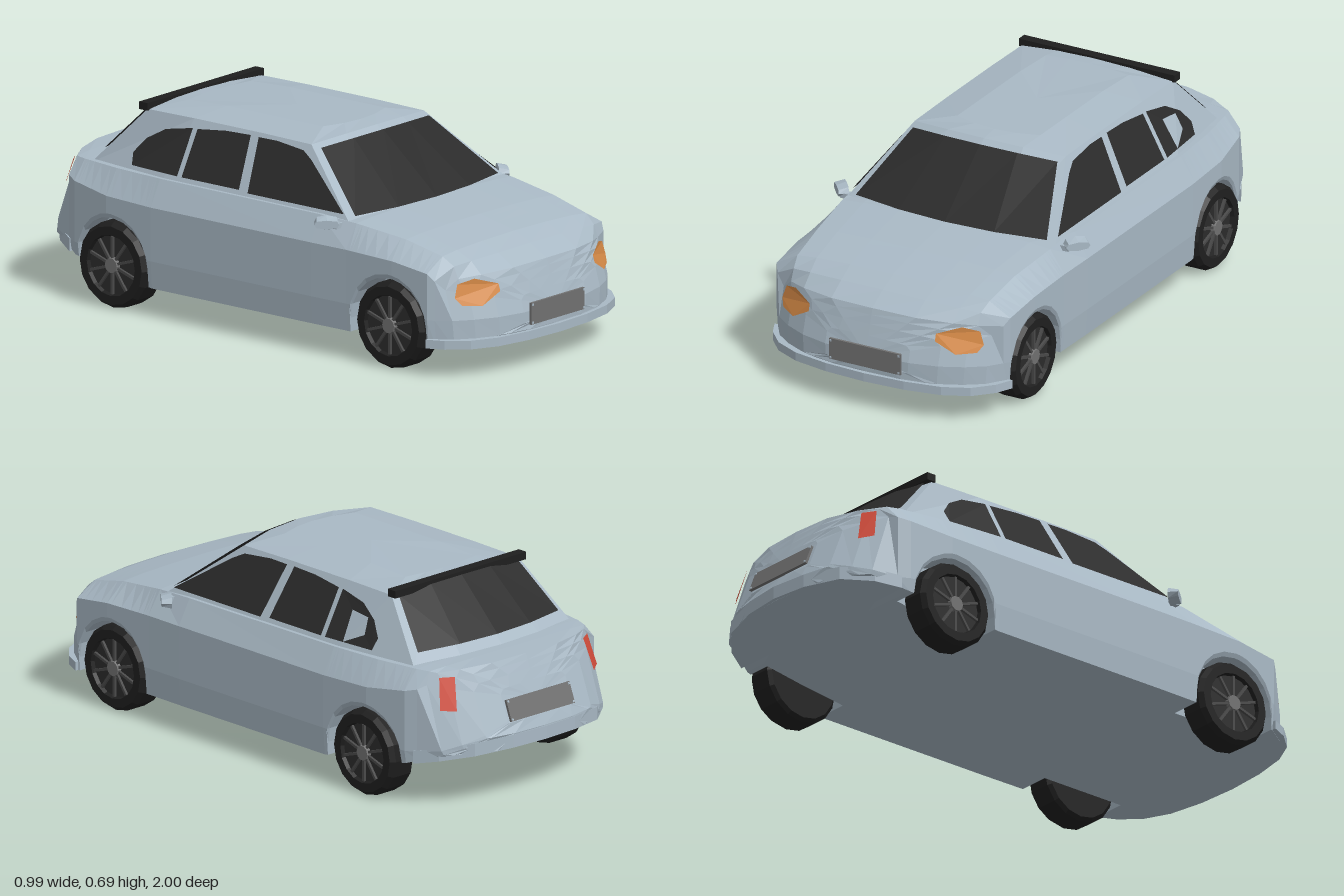
import * as THREE from 'three';

const mat = (name, color, side = THREE.FrontSide) => {
  const m = new THREE.MeshStandardMaterial({ color, side });
  m.name = name;
  return m;
};
const lerp = THREE.MathUtils.lerp;

// Facet a geometry so every face is flat
function flat(g) {
  const f = g.index ? g.toNonIndexed() : g;
  f.computeVertexNormals();
  return f;
}

// Full ring from a half ring lying on the +x side
const mirrorRing = (half) =>
  half.concat(half.slice(1, -1).reverse().map(([x, y, z]) => [-x, y, z]));

// Skin a list of rings with equal point counts
function loft(rings) {
  const n = rings[0].length, idx = [];
  for (let i = 0; i < rings.length - 1; i++)
    for (let j = 0; j < n; j++) {
      const a = i * n + j, b = i * n + (j + 1) % n;
      idx.push(a, a + n, b, b, a + n, b + n);
    }
  const g = new THREE.BufferGeometry();
  g.setAttribute('position', new THREE.Float32BufferAttribute(rings.flat(2), 3));
  g.setIndex(idx);
  return flat(g);
}

// Move every vertex by a rule
function warp(g, rule) {
  const p = g.attributes.position;
  for (let i = 0; i < p.count; i++) p.setXYZ(i, ...rule(p.getX(i), p.getY(i), p.getZ(i)));
  return flat(g);
}
const outline = (pts) => new THREE.Shape(pts.map(([a, b]) => new THREE.Vector2(a, b)));

// Rounded front and tail faces
const noseZ = (x, y) => 0.985 - 0.3 * Math.max(0, y - 0.2) - 0.1 * (Math.abs(x) / 0.38) ** 3;
const tailZ = (x, y) =>
  -0.9 - 0.09 * THREE.MathUtils.clamp((0.48 - y) / 0.23, 0, 1) + 0.1 * (Math.abs(x) / 0.36) ** 3;

// z, corner sweep, half width, shoulder y, top half width, top edge y, top centre y, floor y
const keys = [
  [0.95, 0, 0.4, 0.3, 0.36, 0.335, 0.35, 0.105],
  [0.87, 0.05, 0.435, 0.335, 0.36, 0.375, 0.39, 0.105],
  [0.8, 0, 0.45, 0.36, 0.37, 0.405, 0.42, 0.105],
  [0.65, 0, 0.455, 0.38, 0.38, 0.44, 0.452, 0.105],
  [0.45, 0, 0.455, 0.385, 0.4, 0.465, 0.478, 0.105],
  [0.3, 0, 0.457, 0.385, 0.408, 0.472, 0.475, 0.105],
  [-0.4, 0, 0.457, 0.385, 0.408, 0.475, 0.475, 0.105],
  [-0.6, 0, 0.45, 0.39, 0.395, 0.475, 0.475, 0.13],
  [-0.76, 0, 0.425, 0.41, 0.37, 0.475, 0.482, 0.155],
  [-0.82, 0.02, 0.405, 0.42, 0.355, 0.474, 0.482, 0.17],
  [-0.9, 0, 0.37, 0.43, 0.335, 0.468, 0.48, 0.2],
];
const wheelZ = [0.63, -0.58], wheelY = 0.153, archR = 0.163;

function section(z) {
  let i = 0;
  while (i < keys.length - 2 && z < keys[i + 1][0]) i++;
  const t = (keys[i][0] - z) / (keys[i][0] - keys[i + 1][0]);
  const [, bow, w, ys, wt, yt, yc, yf] = keys[i].map((k, n) => lerp(k, keys[i + 1][n], t));
  // Lower edge rises over the wheels
  let yb = yf;
  for (const c of wheelZ) {
    const d = archR ** 2 - (z - c) ** 2;
    if (d >= -1e-9) yb = Math.max(yb, wheelY + Math.sqrt(Math.max(d, 0)));
  }
  const half = [
    [0, yf], [0.2, yf], [0.335, yf], [0.335, yb], [w * 0.985, yb], [w, Math.max(0.2, yb + 0.015)], [w, ys],
    [wt, yt], [wt * 0.8, lerp(yt, yc, 0.5)], [wt * 0.45, lerp(yt, yc, 0.85)], [0, yc],
  ];
  return half.map(([x, y]) => [x, y, z - Math.sign(z) * bow * (x / w) ** 3]);
}

function bodyGeometry() {
  const zs = keys.slice(1, -1).map((k) => k[0]);
  for (const c of wheelZ) {
    for (let i = 0; i <= 10; i++) zs.push(c + archR * Math.cos((i * Math.PI) / 10));
    zs.push(c + archR + 0.002, c - archR - 0.002);
  }
  const rings = zs.sort((a, b) => b - a).map(section);
  const cap = (z, cy, f, t) =>
    section(z).map(([x, y]) => {
      const px = x * t, py = lerp(cy, y, t);
      return [px, py, f(px, py)];
    });
  const steps = [0, 0.4, 0.65, 0.85, 1];
  const front = steps.map((t) => cap(0.95, 0.2, noseZ, t));
  const back = steps.map((t) => cap(-0.9, 0.34, tailZ, t)).reverse();
  return loft([...front, ...rings, ...back].map(mirrorRing));
}

// Cabin faces: u runs across, v runs from the base up to the roof
const frontScreen = (u, v) =>
  [u * lerp(0.4, 0.29, v), lerp(0.465, 0.683 - 0.018 * u * u, v), lerp(0.465 - 0.05 * u * u, 0.2 - 0.04 * u * u, v)];
const rearScreen = (u, v) =>
  [u * lerp(0.36, 0.29, v), lerp(0.465, 0.68 - 0.015 * u * u, v), lerp(-0.8 + 0.06 * u * u, -0.575 + 0.02 * u * u, v)];
const sideX = (z, y) =>
  lerp(z < -0.4 ? 0.4 + (z + 0.4) * 0.12 : 0.4, 0.29, (y - 0.465) / 0.2);

function cabinGeometry() {
  const us = [0, 0.5, 1];
  const ring = (v) => [
    ...us.map((u) => frontScreen(u, v)),
    [lerp(0.4, 0.29, v), lerp(0.465, 0.668, v), lerp(0, -0.05, v)],
    [lerp(0.4, 0.29, v), lerp(0.465, 0.668, v), lerp(-0.4, -0.35, v)],
    ...us.slice().reverse().map((u) => rearScreen(u, v)),
  ];
  const top = ring(1);
  const roof = top.map(([x, , z]) => [x * 0.55, z > -0.4 ? 0.691 : 0.683, z * 0.82 - 0.03]);
  const centre = top.map(() => [0, 0.692, -0.15]);
  return loft([centre, roof, top, ring(0)].map(mirrorRing));
}

export function createModel() {
  const car = new THREE.Group();
  car.name = 'car';
  const paint = mat('body paint', 0xa9b9c5);
  const glass = mat('dark glass', 0x2b2b2b, THREE.DoubleSide);
  const amber = mat('amber lens', 0xd98c48, THREE.DoubleSide);
  const red = mat('red lens', 0xd24c3a, THREE.DoubleSide);
  const rubber = mat('tyre rubber', 0x1f1f1f);
  const rimDark = mat('rim shadow', 0x2c2c2c);
  const alloy = mat('spoke metal', 0x4a4a4a);
  const grey = mat('plate grey', 0x717171);

  const add = (name, g, m, parent = car) => {
    const mesh = new THREE.Mesh(g, m);
    mesh.name = name;
    parent.add(mesh);
    return mesh;
  };
  const box = (name, w, h, d, m, x, y, z, parent = car) => {
    const b = add(name, new THREE.BoxGeometry(w, h, d), m, parent);
    b.position.set(x, y, z);
    return b;
  };

  add('body', bodyGeometry(), paint);
  add('cabin', cabinGeometry(), paint);

  // Bumper lips, wrapped around both ends
  const lip = (name, pts, h, rule) => {
    const full = pts.concat(pts.slice(1).reverse().map(([x, z]) => [-x, z]));
    const g = new THREE.ExtrudeGeometry(outline(full), { depth: h, bevelEnabled: false });
    g.rotateX(Math.PI / 2);
    add(name, warp(g, rule), paint);
  };
  lip('frontBumperLip', [[0, 1], [0.15, 0.992], [0.28, 0.968], [0.37, 0.925], [0.43, 0.86], [0.458, 0.8]],
    0.03, (x, y, z) => [x, y + 0.136, z]);
  lip('rearBumperLip', [[0, -1], [0.14, -0.988], [0.28, -0.948], [0.37, -0.87], [0.415, -0.79]],
    0.045, (x, y, z) => [x, y + 0.198 + (-z - 0.76) * 0.21, z]);

  // Windscreen and rear window
  const pane = (name, surf, v0, v1, dz) =>
    add(name, warp(new THREE.PlaneGeometry(2, 1, 4, 1), (a, b) => {
      const u = a * 0.93;
      const p = surf(u, lerp(v0, v1, b + 0.5));
      return [p[0], p[1] + 0.005, p[2] + dz];
    }), glass);
  pane('windscreen', frontScreen, 0.04, 0.92, 0.006);
  pane('rearWindow', rearScreen, 0.2, 0.97, -0.006);

  // Side windows
  const sideWindows = {
    FrontWindow: [[0.39, 0.485], [-0.03, 0.485], [-0.06, 0.655], [0.02, 0.656], [0.14, 0.645], [0.185, 0.622]],
    RearWindow: [[-0.07, 0.49], [-0.32, 0.49], [-0.32, 0.64], [-0.2, 0.653], [-0.095, 0.656]],
    QuarterWindow: [[-0.34, 0.49], [-0.55, 0.49], [-0.56, 0.53], [-0.52, 0.58], [-0.45, 0.62], [-0.34, 0.64]],
  };
  const headlight = [[0.24, 0.31], [0.24, 0.285], [0.31, 0.245], [0.37, 0.25], [0.385, 0.275], [0.37, 0.32], [0.317, 0.335]];
  const taillight = [[0.29, 0.455], [0.335, 0.455], [0.355, 0.35], [0.31, 0.345]];

  for (const [side, s] of [['left', 1], ['right', -1]]) {
    for (const [name, pts] of Object.entries(sideWindows))
      add(side + name, warp(new THREE.ShapeGeometry(outline(pts)),
        (z, y) => [s * (sideX(z, y) + 0.006), y, z]), glass);
    add(side + 'Headlight', warp(new THREE.ShapeGeometry(outline(headlight)),
      (x, y) => [s * (x + 0.003), y, noseZ(x, y) + 0.01]), amber);
    add(side + 'Taillight', warp(new THREE.ShapeGeometry(outline(taillight)),
      (x, y) => [s * (x + 0.004), y, tailZ(x, y) - 0.008]), red);

    // Door mirror: tapered head on a short arm
    const head = add(side + 'Mirror', warp(new THREE.BoxGeometry(0.085, 0.05, 0.035, 2, 2, 1), (x, y, z) => {
      const k = z > 0 ? 0.6 : 1;
      return [x * (Math.abs(y) > 0.02 ? 0.8 : 1), y * (Math.abs(x) > 0.03 ? 0.75 : 1) * k, z];
    }), paint);
    head.position.set(s * 0.453, 0.46, 0.365);
    head.rotation.y = s * 0.85;
    box(side + 'MirrorArm', 0.06, 0.018, 0.025, paint, s * 0.41, 0.452, 0.385);

    // Wheels
    wheelZ.forEach((z, i) => {
      const wheel = new THREE.Group();
      wheel.name = side + (i ? 'RearWheel' : 'FrontWheel');
      wheel.position.set(s * 0.398, wheelY, z);
      wheel.rotation.z = -s * Math.PI / 2;
      car.add(wheel);
      const profile = [[0, -0.053], [0.135, -0.053], [0.148, -0.042], [0.148, 0.035], [0.135, 0.052], [0.105, 0.052], [0.1, 0.036]];
      add('tyre', flat(new THREE.LatheGeometry(profile.map((p) => new THREE.Vector2(...p)), 16)), rubber, wheel);
      add('rim', flat(new THREE.CylinderGeometry(0.103, 0.103, 0.02, 16)), rimDark, wheel).position.y = 0.028;
      add('hub', flat(new THREE.CylinderGeometry(0.026, 0.03, 0.02, 10)), grey, wheel).position.y = 0.042;
      for (let k = 0; k < 10; k++) {
        const a = (k * Math.PI) / 5;
        const spoke = box('spoke', 0.075, 0.012, 0.009, alloy, Math.cos(a) * 0.062, 0.041, -Math.sin(a) * 0.062, wheel);
        spoke.rotation.y = a;
      }
    });
  }

  // Blank plates with small bolts
  const plate = (name, w, y, z, tilt, dir) => {
    const g = new THREE.Group();
    g.name = name;
    g.position.set(0, y, z);
    g.rotation.x = tilt;
    car.add(g);
    box('panel', w, 0.075, 0.009, grey, 0, 0, 0, g);
    for (const sx of [-1, 1]) for (const sy of [-1, 1])
      box('bolt', 0.007, 0.007, 0.004, paint, sx * (w / 2 - 0.006), sy * 0.031, dir * 0.005, g);
  };
  plate('frontPlate', 0.274, 0.192, 0.986, 0, 1);
  plate('rearPlate', 0.29, 0.325, -0.966, 0.37, -1);

  // Roof spoiler
  box('roofSpoiler', 0.6, 0.026, 0.036, rubber, 0, 0.675, -0.565);
  return car;
}
